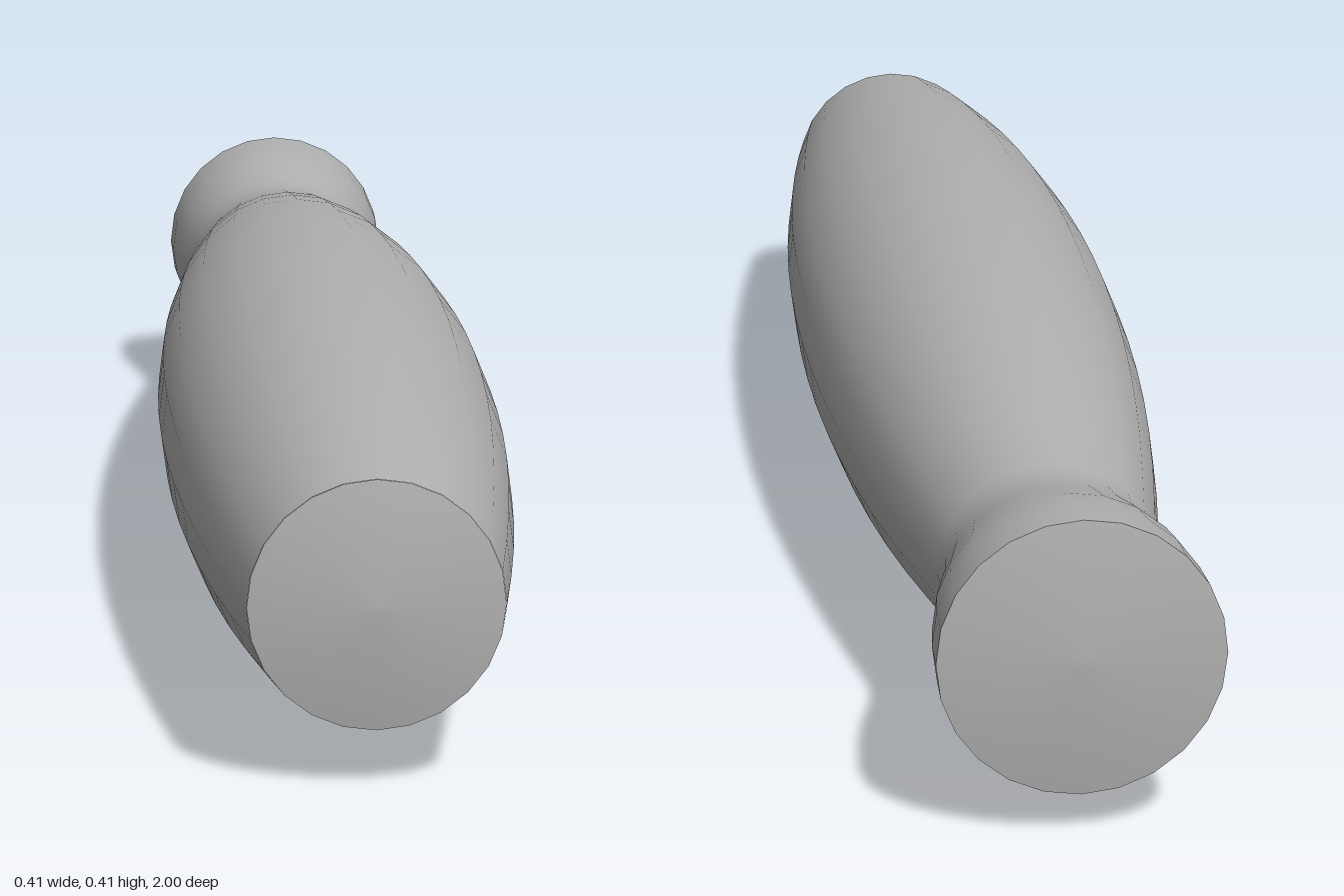
import * as THREE from 'three';

const SIDES = 24;
const CENTER_Y = 0.206;

export function createModel() {
  const group = new THREE.Group();
  group.name = 'handle';
  const grey = new THREE.MeshStandardMaterial({ color: 0xb0b0b0 });
  grey.name = 'plain grey';

  // Turned part: profile of [radius, z] from back to front, spun about the z axis
  function turned(name, profile) {
    const points = profile.map(([r, z]) => new THREE.Vector2(r, z));
    const geometry = new THREE.LatheGeometry(points, SIDES).rotateX(Math.PI / 2);
    const mesh = new THREE.Mesh(geometry, grey);
    mesh.name = name;
    mesh.position.y = CENTER_Y;
    group.add(mesh);
  }

  // Flared pommel and neck, then a barrel swelling towards the front
  const profile = [
    [0.155, -0.985], [0.153, -0.93], [0.147, -0.88], [0.136, -0.83],
    [0.127, -0.79], [0.123, -0.755], [0.124, -0.72],
  ];
  const steps = 16;
  for (let i = 1; i <= steps; i++) {
    const z = -0.72 + (1.705 * i) / steps;
    profile.push([0.204 - 0.102 * (z - 0.17) ** 2, z]);
  }
  turned('grip', profile);

  // Slightly domed ends
  turned('backCap', [[0, -1], [0.08, -0.996], [0.155, -0.985]]);
  turned('frontCap', [[0.136, 0.985], [0.07, 0.996], [0, 1]]);

  return group;
}
